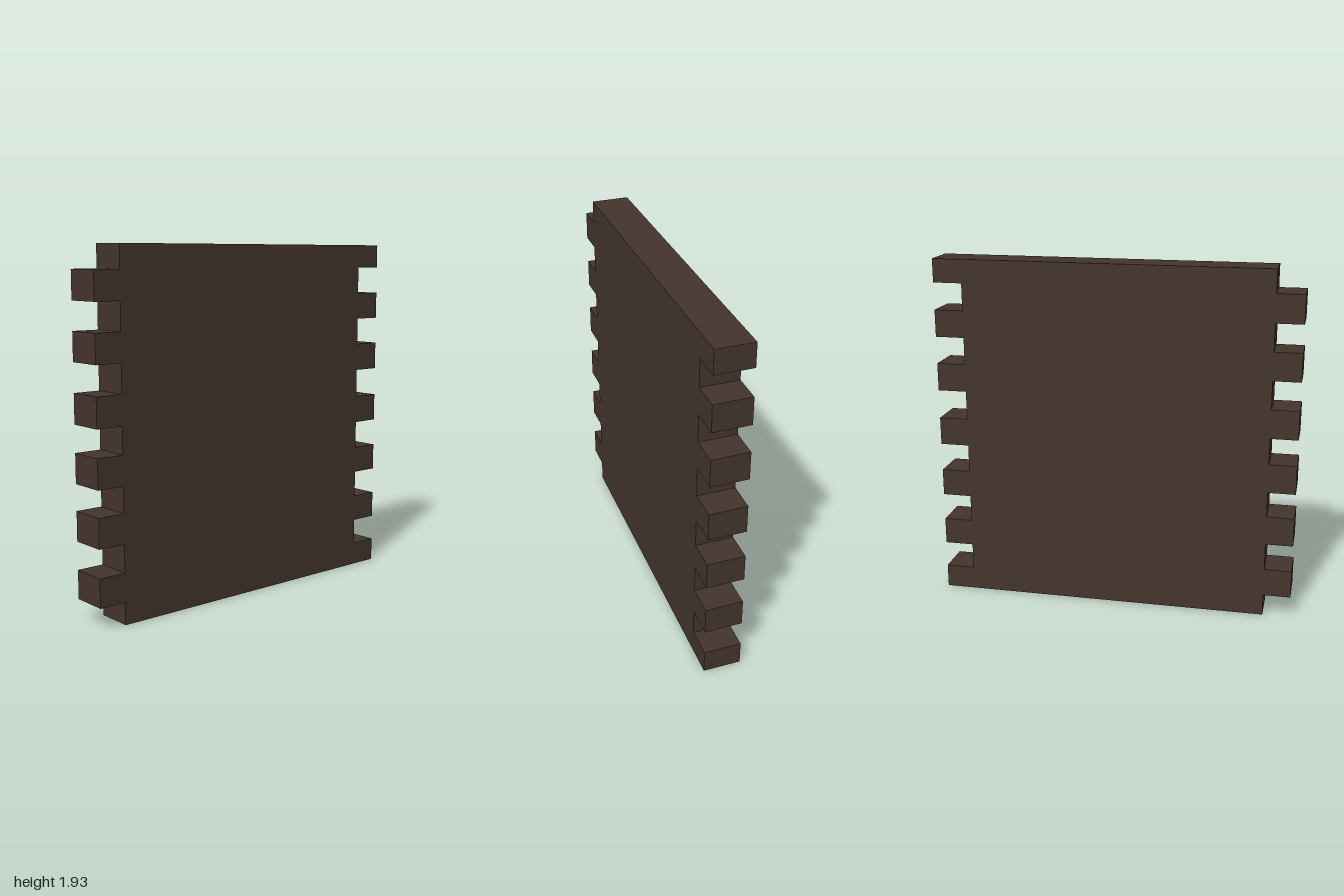
import * as THREE from 'three';

const HEIGHT = 1.93, DEPTH = 0.204;
const NOTCH_X = 0.84, BODY_LEFT = -0.85;

// Lower and upper heights of the gaps on +x and of the fingers on -x
const gaps = [[0.13, 0.275], [0.425, 0.575], [0.725, 0.88], [1.035, 1.195], [1.35, 1.5], [1.65, 1.8]];
const fingers = [[0.12, 0.275], [0.425, 0.585], [0.725, 0.885], [1.03, 1.19], [1.345, 1.5], [1.65, 1.805]];

export function createModel() {
  const group = new THREE.Group();
  group.name = 'fingerJointedPanel';

  const darkWood = new THREE.MeshStandardMaterial({ color: 0x44352d });
  darkWood.name = 'dark wood';

  // Outline of the board, anticlockwise from the lower left corner
  const outline = new THREE.Shape();
  outline.moveTo(BODY_LEFT, 0);
  outline.lineTo(1, 0);
  for (const [low, high] of gaps) {
    outline.lineTo(1, low);
    outline.lineTo(NOTCH_X, low);
    outline.lineTo(NOTCH_X, high);
    outline.lineTo(1, high);
  }
  outline.lineTo(1, HEIGHT);
  outline.lineTo(BODY_LEFT, HEIGHT);
  for (const [low, high] of [...fingers].reverse()) {
    outline.lineTo(BODY_LEFT, high);
    outline.lineTo(-1, high);
    outline.lineTo(-1, low);
    outline.lineTo(BODY_LEFT, low);
  }
  outline.closePath();

  // Board with interlocking fingers on both sides
  const geometry = new THREE.ExtrudeGeometry(outline, { depth: DEPTH, bevelEnabled: false });
  geometry.translate(0, 0, -DEPTH / 2);
  const panel = new THREE.Mesh(geometry, darkWood);
  panel.name = 'panel';
  group.add(panel);

  return group;
}
